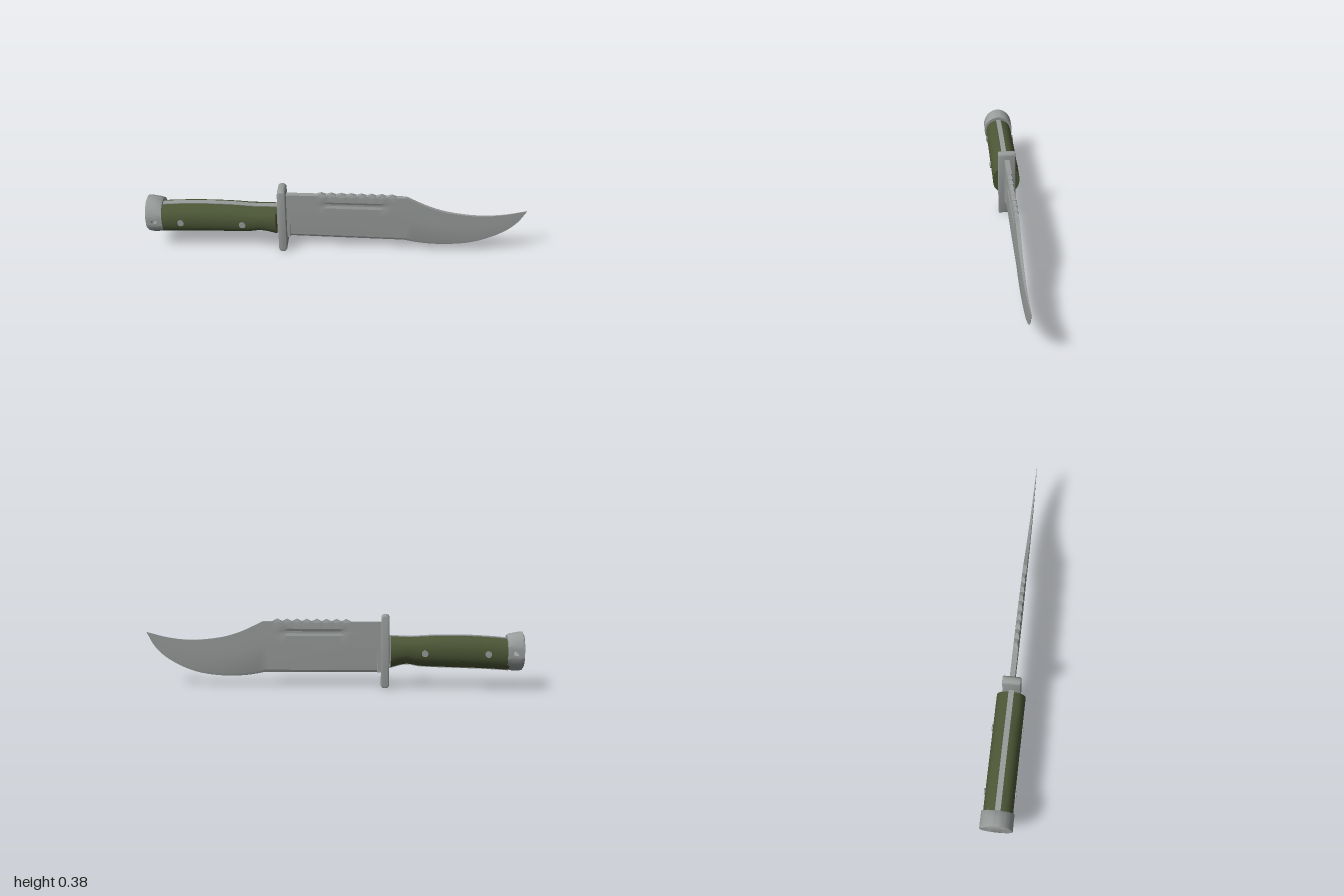
import * as THREE from 'three';
import { toCreasedNormals } from 'three/addons/utils/BufferGeometryUtils.js';

const { lerp, smoothstep } = THREE.MathUtils;

// Smooth curve y(x) through [x, y] points
function curve(pts) {
  const slope = (i) => {
    const a = pts[Math.max(i - 1, 0)], b = pts[Math.min(i + 1, pts.length - 1)];
    return (b[1] - a[1]) / (b[0] - a[0]);
  };
  return (x) => {
    let i = 0;
    while (i < pts.length - 2 && x > pts[i + 1][0]) i++;
    const [x0, y0] = pts[i], [x1, y1] = pts[i + 1], d = x1 - x0;
    const t = Math.min(Math.max((x - x0) / d, 0), 1), u = 1 - t;
    return y0 * (1 + 2 * t) * u * u + slope(i) * d * t * u * u
      + y1 * t * t * (3 - 2 * t) - slope(i + 1) * d * t * t * u;
  };
}

// Skin over rings of [y, z] points placed along x, with closed ends
function loft(xs, ringAt, crease) {
  const pos = [], index = [];
  const rings = xs.map(ringAt), n = rings[0].length;
  rings.forEach((r, i) => r.forEach(([y, z]) => pos.push(xs[i], y, z)));
  for (let i = 0; i < xs.length - 1; i++) {
    for (let j = 0; j < n; j++) {
      const a = i * n + j, b = i * n + (j + 1) % n;
      index.push(a, b, a + n, b, b + n, a + n);
    }
  }
  for (const end of [0, xs.length - 1]) {
    const c = pos.length / 3, r = rings[end];
    pos.push(xs[end], r.reduce((s, p) => s + p[0], 0) / n, 0);
    for (let j = 0; j < n; j++) {
      const a = end * n + j, b = end * n + (j + 1) % n;
      if (end === 0) index.push(c, b, a); else index.push(c, a, b);
    }
  }
  const g = new THREE.BufferGeometry();
  g.setAttribute('position', new THREE.Float32BufferAttribute(pos, 3));
  g.setIndex(index);
  return toCreasedNormals(g, crease);
}

const range = (a, b, n) => Array.from({ length: n + 1 }, (_, i) => lerp(a, b, i / n));

function bladeGeometry() {
  const spineTip = curve([[0.37, 0.347], [0.43, 0.317], [0.5, 0.286], [0.6, 0.258],
    [0.75, 0.243], [0.88, 0.254], [1, 0.283]]);
  const bellyTip = curve([[0.37, 0.071], [0.45, 0.056], [0.57, 0.05], [0.7, 0.063],
    [0.8, 0.094], [0.9, 0.15], [0.96, 0.209], [1, 0.281]]);
  const thick = curve([[-0.26, 0.0135], [0.1, 0.013], [0.4, 0.01], [0.7, 0.006], [1, 0.001]]);
  const teeth = 8, toothStart = -0.1, toothEnd = 0.32;

  const ring = (x) => {
    const spine = x < 0.37 ? 0.347 : spineTip(x);
    const edge = x < 0.37 ? lerp(0.078, 0.071, (x + 0.26) / 0.63) : bellyTip(x);
    const H = spine - edge, h = thick(x), square = x < -0.241;
    // Saw teeth on the spine
    const t = (x - toothStart) / (toothEnd - toothStart) * teeth;
    const tooth = t > 0 && t < teeth ? 1 - Math.abs((t % 1) * 2 - 1) : 0;
    // Shallow groove under the teeth
    const groove = 0.005 * smoothstep(x, -0.1, -0.03) * (1 - smoothstep(x, 0.22, 0.31));
    const bevel = Math.min(0.014, 0.2 * H);
    const half = [
      [spine + 0.014 * tooth, lerp(h, h * 0.45, tooth)],
      [spine - 0.02 * H, h],
      [spine - 0.14 * H, h],
      [spine - 0.19 * H, h - groove],
      [spine - 0.23 * H, h - groove],
      [spine - 0.28 * H, h],
      [spine - 0.45 * H, h],
      [edge + bevel, square ? h : h * 0.55],
      [edge, square ? h : 0.0008],
    ];
    return [...half, ...half.map(([y, z]) => [y, -z]).reverse()];
  };
  const xs = [-0.28, -0.242, -0.238, -0.17, ...range(toothStart, toothEnd, teeth * 4),
    0.345, ...range(0, 1, 28).map((t) => 0.37 + 0.63 * (1 - (1 - t) ** 1.5))];
  return loft(xs, ring, 0.3);
}

// Side outline shared by the grip and the tang
const gripTop = curve([[-0.93, 0.264], [-0.85, 0.272], [-0.7, 0.279], [-0.55, 0.278],
  [-0.42, 0.271], [-0.31, 0.273]]);
const gripBottom = curve([[-0.93, 0.1], [-0.8, 0.107], [-0.6, 0.112], [-0.46, 0.117],
  [-0.4, 0.127], [-0.36, 0.122], [-0.31, 0.107]]);

function gripGeometry() {
  const n = 48, power = 2 / 2.2;
  const bend = (v) => Math.sign(v) * Math.abs(v) ** power;
  return loft(range(-0.925, -0.31, 30), (x) => {
    const mid = (gripTop(x) + gripBottom(x)) / 2, ry = (gripTop(x) - gripBottom(x)) / 2;
    return Array.from({ length: n }, (_, j) => {
      const a = j / n * Math.PI * 2;
      return [mid + ry * bend(Math.cos(a)), 0.075 * bend(Math.sin(a))];
    });
  }, 0.6);
}

function tangGeometry() {
  const w = 0.014, out = 0.003;
  return loft([...range(-0.925, -0.31, 30), -0.28], (x) => {
    const t = gripTop(x) + out, b = gripBottom(x) - out;
    return [[t, -w], [t, w], [b, w], [b, -w]];
  }, 0.5);
}

// Oval cap with a lanyard hole: the outline is squeezed towards each side
function pommelGeometry() {
  const hole = new THREE.Vector2(-0.957, 0.196), r = 0.015, zMax = 0.085, cy = 0.198;
  const s = new THREE.Shape([[-1, 0.112], [-0.994, 0.1], [-0.975, 0.095], [-0.945, 0.096],
    [-0.915, 0.103], [-0.915, 0.284], [-0.925, 0.291], [-0.95, 0.296], [-0.98, 0.302],
    [-0.995, 0.301], [-1, 0.29]].map((p) => new THREE.Vector2(...p)));
  s.holes.push(new THREE.Path().absarc(hole.x, hole.y, r, 0, Math.PI * 2, true));
  const g = new THREE.ExtrudeGeometry(s, { depth: 2, steps: 28, bevelEnabled: false, curveSegments: 20 });
  const p = g.attributes.position, limit = Math.asin(0.97);
  for (let i = 0; i < p.count; i++) {
    const a = (p.getZ(i) - 1) * limit;
    const inHole = Math.hypot(p.getX(i) - hole.x, p.getY(i) - hole.y) < r * 1.1;
    if (!inHole) p.setY(i, cy + (p.getY(i) - cy) * Math.cos(a));
    p.setZ(i, zMax * Math.sin(a));
  }
  return toCreasedNormals(g, 0.5);
}

function guardGeometry() {
  const x0 = -0.297, x1 = -0.263, y0 = 0.005, y1 = 0.38, r = 0.014;
  const s = new THREE.Shape();
  s.absarc(x1 - r, y0 + r, r, -Math.PI / 2, 0);
  s.absarc(x1 - r, y1 - r, r, 0, Math.PI / 2);
  s.absarc(x0 + r, y1 - r, r, Math.PI / 2, Math.PI);
  s.absarc(x0 + r, y0 + r, r, Math.PI, Math.PI * 1.5);
  const g = new THREE.ExtrudeGeometry(s, { depth: 0.084, bevelSize: 0.005, bevelThickness: 0.005,
    bevelSegments: 3, curveSegments: 8 });
  return toCreasedNormals(g.translate(0, 0, -0.042), 0.6);
}

export function createModel() {
  const group = new THREE.Group();
  const steel = new THREE.MeshStandardMaterial({ name: 'steel', color: 0x989c9a });
  const olive = new THREE.MeshStandardMaterial({ name: 'olive', color: 0x4c5636 });
  const add = (name, geometry, material) => {
    const m = new THREE.Mesh(geometry, material);
    m.name = name;
    group.add(m);
    return m;
  };

  add('blade', bladeGeometry(), steel);
  add('guard', guardGeometry(), steel);
  add('tang', tangGeometry(), steel);
  add('grip', gripGeometry(), olive);
  add('pommel', pommelGeometry(), steel);

  // Rivets through the grip
  for (const x of [-0.815, -0.487]) {
    const pin = new THREE.CylinderGeometry(0.017, 0.017, 0.162, 20).rotateX(Math.PI / 2);
    add('rivet', pin, steel).position.set(x, 0.191, 0);
  }
  return group;
}
